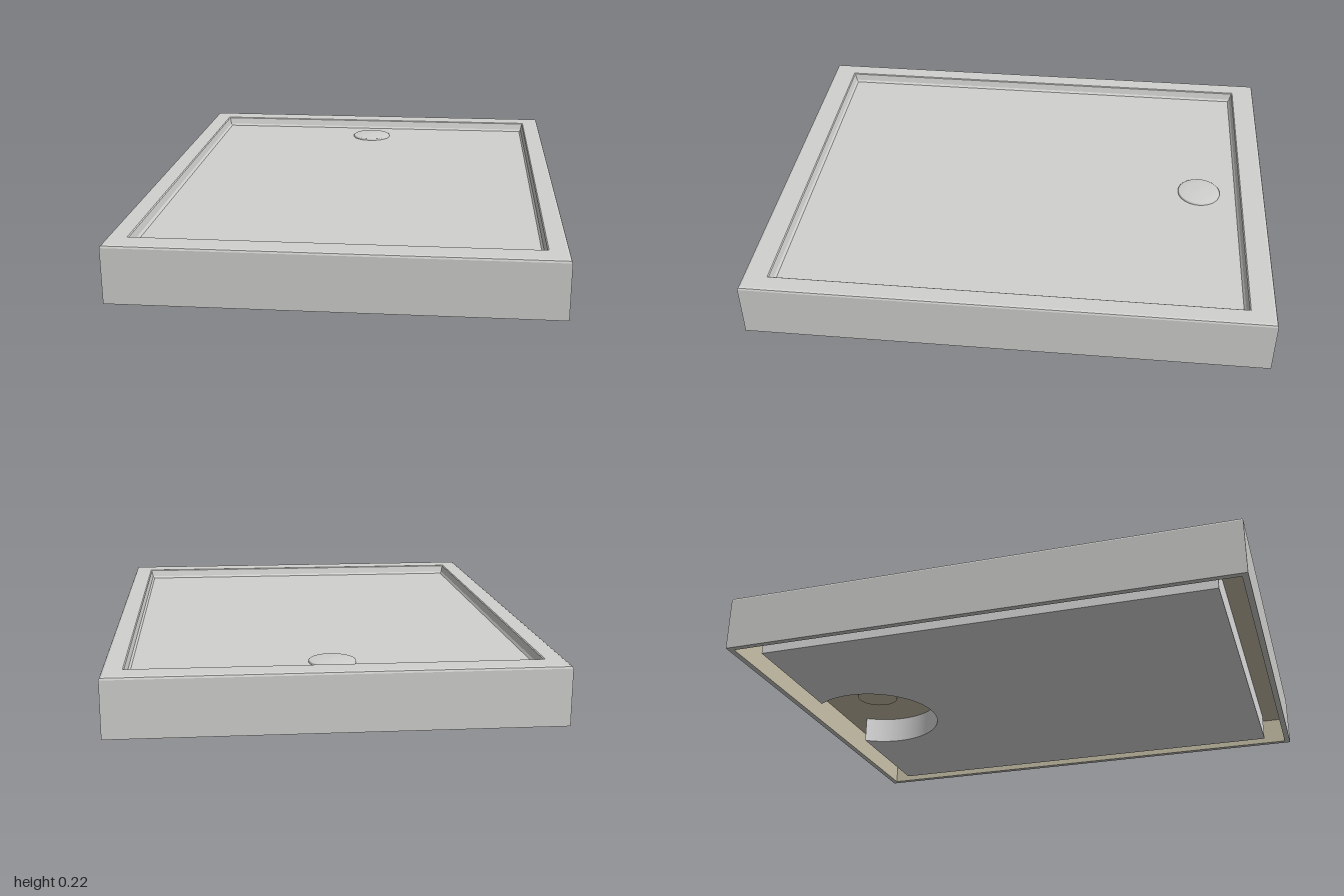
import * as THREE from 'three';

// Flat-sided skin over rectangular loops [halfX, halfZ, y]; can close either end.
function rectLoft(loops, closeStart, closeEnd) {
  const rings = loops.map(([x, z, y]) => [[x, y, z], [x, y, -z], [-x, y, -z], [-x, y, z]]);
  const pos = [];
  const tri = (a, b, c) => pos.push(...a, ...b, ...c);
  for (let i = 0; i < rings.length - 1; i++) {
    const lo = rings[i], hi = rings[i + 1];
    for (let k = 0; k < 4; k++) {
      const n = (k + 1) % 4;
      tri(lo[k], lo[n], hi[n]);
      tri(lo[k], hi[n], hi[k]);
    }
  }
  const s = rings[0], e = rings[rings.length - 1];
  if (closeStart) { tri(s[0], s[2], s[1]); tri(s[0], s[3], s[2]); }
  if (closeEnd) { tri(e[0], e[1], e[2]); tri(e[0], e[2], e[3]); }
  const geo = new THREE.BufferGeometry();
  geo.setAttribute('position', new THREE.Float32BufferAttribute(pos, 3));
  geo.computeVertexNormals();
  return geo;
}

export function createModel() {
  const model = new THREE.Group();
  model.name = 'showerTray';
  const material = (name, color) => {
    const m = new THREE.MeshStandardMaterial({ color });
    m.name = name;
    return m;
  };
  const acrylic = material('greyAcrylic', 0xd1d1cf);
  const resin = material('beigeResin', 0xd0c8b0);
  const foam = material('paleFoam', 0xe2e2e2);
  const add = (name, geo, mat, x = 0, y = 0, z = 0) => {
    const mesh = new THREE.Mesh(geo, mat);
    mesh.name = name;
    mesh.position.set(x, y, z);
    model.add(mesh);
    return mesh;
  };

  const drainZ = -0.735, drainR = 0.087, ceiling = 0.11, floorY = 0.182;

  // Skirt, softened rim and shallow basin
  add('trayShell', rectLoft([
    [0.792, 0.977, 0], [0.815, 1, 0], [0.815, 1, 0.21], [0.812, 0.997, 0.217], [0.805, 0.99, 0.22],
    [0.742, 0.905, 0.22], [0.738, 0.901, 0.217], [0.732, 0.893, 0.19], [0.725, 0.886, floorY],
  ], false, true), acrylic);

  // Inside of the skirt and underside of the basin
  add('resinUnderside', rectLoft([[0.792, 0.977, ceiling], [0.792, 0.977, 0]], true, false), resin);

  // Support block below, with a round clearance for the waste cut through its back edge
  const bx = 0.735, bz = 0.89, cutR = 0.27;
  const a = Math.asin((bz + drainZ) / cutR);
  const block = new THREE.Shape();
  block.moveTo(-bx, -bz);
  block.lineTo(bx, -bz);
  block.lineTo(bx, bz);
  block.lineTo(cutR * Math.cos(a), bz);
  block.absarc(0, -drainZ, cutR, a, Math.PI - a, true);
  block.lineTo(-bx, bz);
  block.closePath();
  const blockGeo = new THREE.ExtrudeGeometry(block, { depth: ceiling, bevelEnabled: false, curveSegments: 48 });
  blockGeo.rotateX(-Math.PI / 2);
  add('supportBlock', blockGeo, foam);

  // Gently domed drain cover resting on the basin floor
  const dome = [[drainR, 0], [drainR, 0.006], [drainR - 0.004, 0.009], [0.05, 0.012], [0, 0.014]]
    .map(([r, y]) => new THREE.Vector2(r, y));
  add('drainCover', new THREE.LatheGeometry(dome, 40), acrylic, 0, floorY, drainZ);

  // Waste outlet showing through the underside
  const outlet = new THREE.CylinderGeometry(drainR, drainR, 0.008, 40);
  add('drainOutlet', outlet, resin, 0, ceiling - 0.002, drainZ);

  return model;
}
